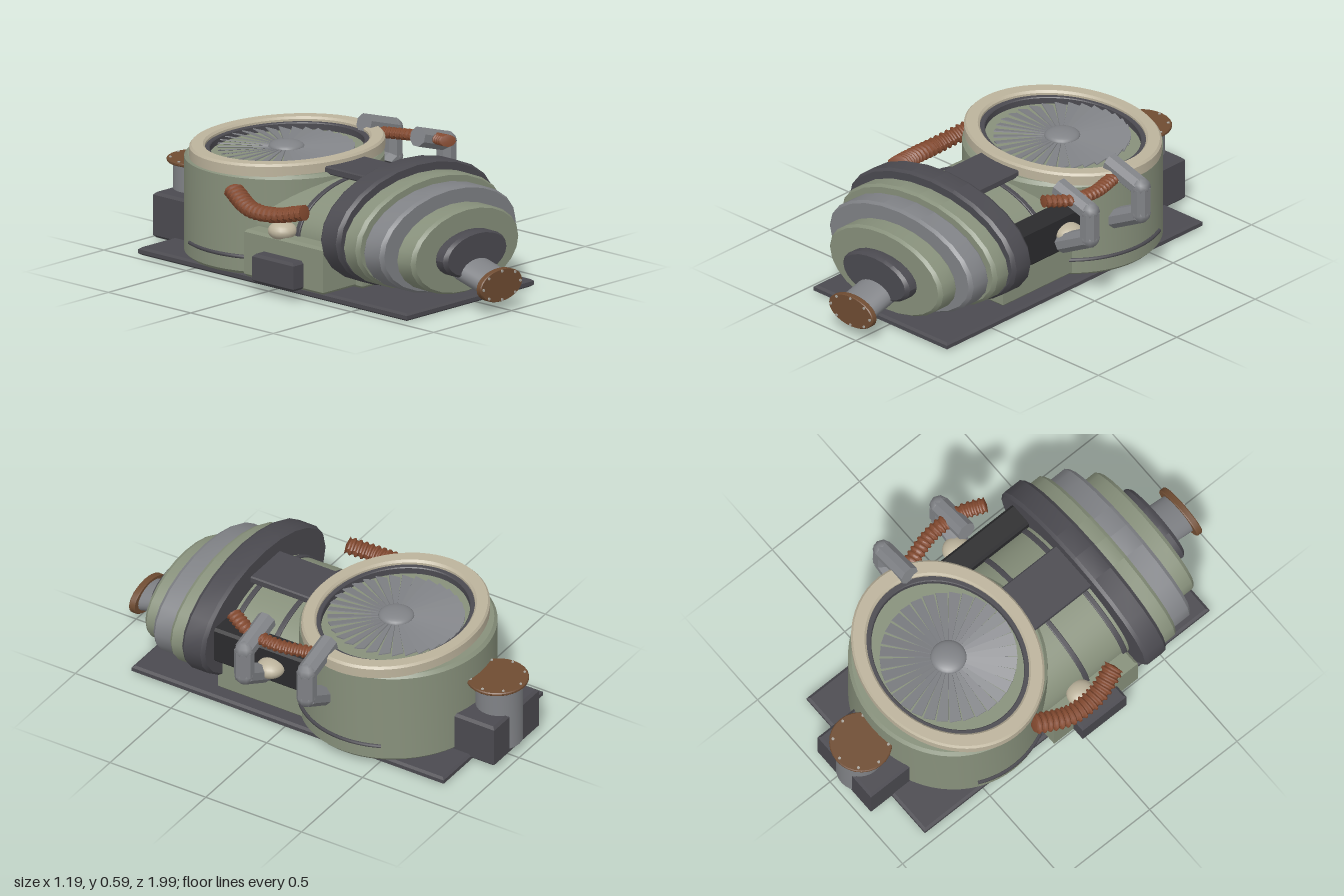
import * as THREE from 'three';
import { toCreasedNormals } from 'three/addons/utils/BufferGeometryUtils.js';

const mat = (name, color) => {
  const m = new THREE.MeshStandardMaterial({ color });
  m.name = name;
  return m;
};

export function createModel() {
  const root = new THREE.Group();
  root.name = 'turbineEngine';
  const green = mat('sage green', 0x87907b), dark = mat('charcoal', 0x4b4a50);
  const black = mat('near black', 0x2b2b2d), grey = mat('steel grey', 0x808286);
  const cream = mat('cream', 0xbcb39c), copper = mat('copper brown', 0x6f4c32);
  const rust = mat('hose rust', 0x82492f), bolt = mat('bolt grey', 0xa8a49c);

  const add = (name, geo, material, x = 0, y = 0, z = 0, parent = root) => {
    const m = new THREE.Mesh(geo, material);
    m.name = name;
    m.position.set(x, y, z);
    parent.add(m);
    return m;
  };

  // box given by its extents, with chamfered vertical edges
  const block = (name, material, x0, x1, y0, y1, z0, z1, c = 0.012) => {
    const w = (x1 - x0) / 2, d = (z1 - z0) / 2, b = Math.min(c, (y1 - y0) / 4);
    const s = new THREE.Shape([[-w + c, -d + c], [w - c, -d + c], [w - c, d - c], [-w + c, d - c]]
      .map(([x, y]) => new THREE.Vector2(x, y)));
    const g = new THREE.ExtrudeGeometry(s, {
      depth: y1 - y0 - 2 * b, bevelThickness: b, bevelSize: c, bevelSegments: 1,
    }).rotateX(-Math.PI / 2);
    return add(name, g, material, (x0 + x1) / 2, y0 + b, (z0 + z1) / 2);
  };

  // turned part from [radius, height] pairs, stretched to an ellipse
  const turned = (pts, sx, sz, seg) => toCreasedNormals(
    new THREE.LatheGeometry(pts.map(p => new THREE.Vector2(...p)), seg).scale(sx, 1, sz), 0.5);
  const disc = (rx, rz, h, b = 0.012, seg = 48) =>
    turned([[0, 0], [1 - b / rx, 0], [1, b], [1, h - b], [1 - b / rx, h], [0, h]], rx, rz, seg);
  const ring = (rx, rz, inner, h, b, seg = 64) =>
    turned([[inner, 0], [1, 0], [1, h - b], [1 - b / rx, h], [inner + b / rx, h], [inner, h - b], [inner, 0]], rx, rz, seg);
  // same disc with its axis along z
  const noseDisc = (rx, ry, h, b, seg) => disc(rx, ry, h, b, seg).rotateX(Math.PI / 2);

  // base
  block('basePlate', dark, -0.455, 0.36, 0, 0.035, -0.835, 0.795);
  block('rearPedestal', dark, -0.23, 0.137, 0.012, 0.22, -0.957, -0.62);

  // main drum with its intake ring
  const cx = -0.03, cz = -0.35;
  add('drum', disc(0.455, 0.43, 0.455, 0.015, 64), green, cx, 0.03, cz);
  add('intakeRing', ring(0.475, 0.39, 0.84, 0.055, 0.01), cream, -0.02, 0.482, -0.342);
  add('intakeLiner', ring(0.402, 0.332, 0.93, 0.035, 0.004), dark, -0.02, 0.482, -0.342);

  // intake fan
  const fan = new THREE.Group();
  fan.name = 'fan';
  fan.position.set(-0.025, 0.503, -0.342);
  root.add(fan);
  const bladeGeo = new THREE.BoxGeometry(0.235, 0.005, 0.054);
  const bp = bladeGeo.attributes.position;
  for (let i = 0; i < bp.count; i++) if (bp.getX(i) < 0) bp.setZ(i, bp.getZ(i) * 0.3);
  bladeGeo.rotateX(0.3).translate(0.185, 0, 0);
  bladeGeo.computeVertexNormals();
  for (let i = 0; i < 32; i++) add('fanBlade', bladeGeo, grey, 0, 0, 0, fan).rotation.y = i * Math.PI / 16;
  add('fanHub', new THREE.SphereGeometry(0.08, 24, 8, 0, Math.PI * 2, 0, Math.PI / 2).scale(1, 0.35, 1), grey, 0, 0.002, 0, fan);

  // curved strips low on both sides of the drum
  for (const side of [1, -1]) {
    const pts = [];
    for (let i = 0; i <= 16; i++) {
      const a = -0.42 + i * 1.36 / 16;
      pts.push(new THREE.Vector3(cx + side * 0.46 * Math.cos(a), 0.113, cz + 0.435 * Math.sin(a)));
    }
    add('drumStrip', new THREE.TubeGeometry(new THREE.CatmullRomCurve3(pts), 32, 0.009, 6), dark);
  }

  // middle barrel, its bands and the fairings around it
  add('barrel', noseDisc(0.37, 0.215, 0.6, 0.01), green, -0.06, 0.245, -0.2);
  for (const z of [0.1, 0.315]) add('barrelBand', noseDisc(0.38, 0.222, 0.024, 0.003), dark, -0.06, 0.245, z);
  block('lowerHousing', green, -0.3, 0.305, 0.04, 0.2, -0.1, 0.38);
  block('sideHousing', green, -0.51, -0.28, 0.045, 0.26, -0.14, 0.34);
  block('sideBox', dark, -0.575, -0.49, 0.05, 0.18, -0.03, 0.22);
  block('sideRail', black, 0.26, 0.375, 0.228, 0.405, -0.13, 0.37);
  block('topStrap', dark, -0.168, 0.075, 0.475, 0.51, -0.02, 0.36, 0.006);
  for (const [x, y] of [[-0.465, 0.28], [0.39, 0.32]])
    add('sideKnob', new THREE.SphereGeometry(0.065, 20, 12).scale(1, 0.65, 1), cream, x, y, 0.05);

  // stepped nose: rx, ry, centre x, centre y, back z, depth, colour
  for (const [rx, ry, x, y, z, h, m] of [
    [0.51, 0.273, -0.046, 0.311, 0.355, 0.12, dark],
    [0.475, 0.25, -0.046, 0.29, 0.46, 0.1, green],
    [0.438, 0.232, -0.048, 0.273, 0.55, 0.122, grey],
    [0.345, 0.193, -0.045, 0.242, 0.66, 0.112, green],
    [0.203, 0.103, -0.046, 0.235, 0.76, 0.075, dark],
  ]) add('noseStep', noseDisc(rx, ry, h, 0.016, 24), m, x, y, z);

  // flange with a circle of bolts, lying flat
  const flange = (name, rx, rz, h) => {
    const g = new THREE.Group();
    g.name = name;
    add('flangePlate', disc(rx, rz, h, 0.004, 28), copper, 0, 0, 0, g);
    for (let i = 0; i < 8; i++) {
      const a = i * Math.PI / 4;
      add('flangeBolt', new THREE.CylinderGeometry(0.007, 0.007, 0.008, 6), bolt,
        rx * 0.88 * Math.cos(a), h, rz * 0.88 * Math.sin(a), g);
    }
    root.add(g);
    return g;
  };

  // drooping front outlet
  add('frontPipe', noseDisc(0.102, 0.06, 0.19, 0.004, 24), grey, -0.047, 0.168, 0.785).rotation.x = 0.27;
  const front = flange('frontFlange', 0.134, 0.074, 0.03);
  front.position.set(-0.047, 0.122, 0.955);
  front.rotation.x = Math.PI / 2;

  // upright rear outlet
  add('rearPipe', disc(0.105, 0.105, 0.32, 0.004, 28), grey, -0.045, 0.035, -0.868);
  flange('rearFlange', 0.141, 0.138, 0.016).position.set(-0.043, 0.346, -0.86);

  // angular grab handles
  const up = new THREE.Vector3(0, 1, 0);
  for (const z of [0.085, -0.24]) {
    const handle = new THREE.Group();
    handle.name = 'handle';
    root.add(handle);
    const p = [[0.365, 0.55], [0.55, 0.495], [0.55, 0.365], [0.385, 0.28]].map(([x, y]) => new THREE.Vector3(x, y, z));
    for (let i = 0; i < 3; i++) {
      const d = p[i + 1].clone().sub(p[i]);
      const g = toCreasedNormals(new THREE.CylinderGeometry(0.046, 0.046, d.length(), 8).rotateY(Math.PI / 8), 0.3);
      const c = p[i].clone().lerp(p[i + 1], 0.5);
      add('handleBar', g, grey, c.x, c.y, c.z, handle).quaternion.setFromUnitVectors(up, d.normalize());
      if (i) add('handleJoint', new THREE.SphereGeometry(0.046, 8, 6), grey, p[i].x, p[i].y, z, handle);
    }
  }

  // ribbed hoses: ring radii alternate, the ends close to a point
  const hose = (name, points, r) => {
    const n = 72, sides = 10;
    const curve = new THREE.CatmullRomCurve3(points.map(p => new THREE.Vector3(...p)));
    const g = new THREE.TubeGeometry(curve, n, 1, sides);
    const pos = g.attributes.position, v = new THREE.Vector3();
    for (let i = 0; i <= n; i++) {
      const c = curve.getPointAt(i / n);
      const k = i === 0 || i === n ? 0 : r * (i % 4 < 2 ? 1 : 0.8);
      for (let j = 0; j <= sides; j++) {
        const q = i * (sides + 1) + j;
        v.fromBufferAttribute(pos, q).sub(c).multiplyScalar(k);
        pos.setXYZ(q, c.x + v.x, c.y + v.y * 0.7, c.z + v.z);
      }
    }
    add(name, toCreasedNormals(g, 0.7), rust);
  };
  hose('leftHose', [[-0.495, 0.4, 0.22], [-0.54, 0.37, 0.08], [-0.54, 0.37, -0.07], [-0.48, 0.42, -0.24]], 0.05);
  hose('rightHose', [[0.405, 0.55, 0.235], [0.455, 0.53, 0.12], [0.465, 0.515, -0.03], [0.42, 0.508, -0.2]], 0.038);

  return root;
}
